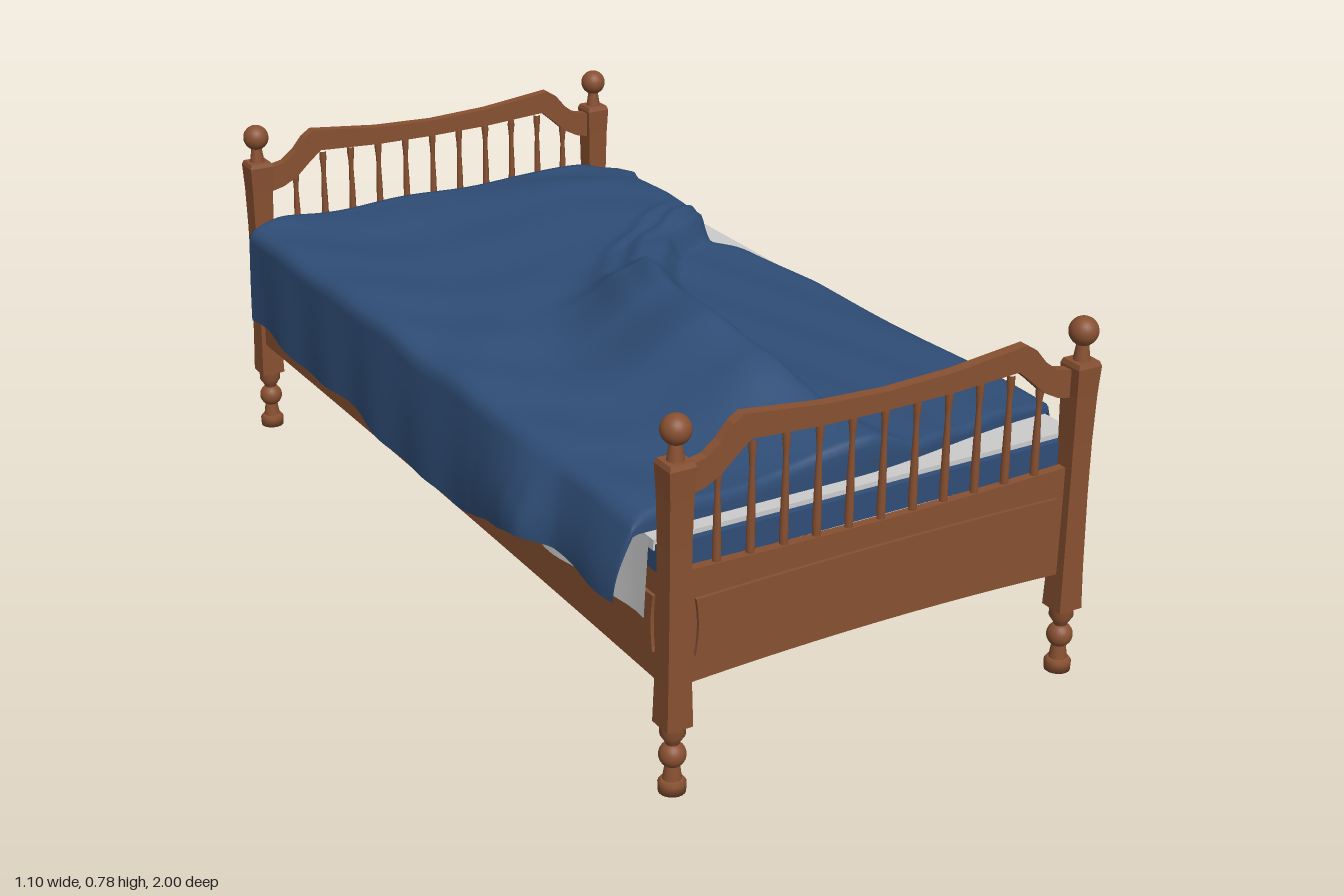
import * as THREE from 'three';

const CX = 0.033; // bed frame centre in x
const wood = new THREE.MeshStandardMaterial({ color: 0x875031 });
const woodFlat = new THREE.MeshStandardMaterial({ color: 0x875031, flatShading: true });
const blue = new THREE.MeshStandardMaterial({ color: 0x2f4d76 });
const blueCloth = new THREE.MeshStandardMaterial({ color: 0x2f4d76, side: THREE.DoubleSide });
const grey = new THREE.MeshStandardMaterial({ color: 0xcccccc });
const greyCloth = new THREE.MeshStandardMaterial({ color: 0xcccccc, side: THREE.DoubleSide });

function add(parent, name, geo, mat, x = 0, y = 0, z = 0) {
  const m = new THREE.Mesh(geo, mat);
  m.name = name;
  m.position.set(x, y, z);
  parent.add(m);
  return m;
}
const smooth = (a, b, v) => THREE.MathUtils.smoothstep(v, a, b);
const mix = THREE.MathUtils.lerp;
const bump = (d, w) => Math.exp(-((d / w) ** 2));
const lathe = (pts, n) => new THREE.LatheGeometry(pts.map(p => new THREE.Vector2(p[0], p[1])), n);

// Eased interpolation through [key, value] pairs
function along(table, v) {
  if (v <= table[0][0]) return table[0][1];
  for (let i = 1; i < table.length; i++) {
    const [a, p] = table[i - 1], [b, q] = table[i];
    if (v <= b) return mix(p, q, mix((v - a) / (b - a), smooth(a, b, v), 0.4));
  }
  return table[table.length - 1][1];
}

// Surface from a function of two 0..1 parameters
function sheetGeometry(nu, nv, fn) {
  const g = new THREE.PlaneGeometry(1, 1, nu, nv);
  const p = g.attributes.position;
  for (let j = 0, k = 0; j <= nv; j++)
    for (let i = 0; i <= nu; i++, k++) p.setXYZ(k, ...fn(i / nu, j / nv));
  g.computeVertexNormals();
  return g;
}

// Square waisted post with a ball finial and turned foot
function makePost() {
  const post = new THREE.Group();
  post.name = 'post';
  const r2 = Math.SQRT2;
  const shaft = lathe([[0, 0.145], [0.028, 0.145], [0.0255, 0.24], [0.0235, 0.4], [0.0235, 0.52],
    [0.0255, 0.62], [0.0285, 0.68], [0.025, 0.69], [0, 0.69]].map(([r, y]) => [r * r2, y]), 4);
  shaft.rotateY(Math.PI / 4);
  add(post, 'postShaft', shaft, woodFlat);
  add(post, 'finialNeck', new THREE.CylinderGeometry(0.012, 0.018, 0.04, 16), wood, 0, 0.705, 0);
  add(post, 'finialBall', new THREE.SphereGeometry(0.03, 24, 16), wood, 0, 0.75, 0);
  add(post, 'footCollar', lathe([[0.012, 0.1], [0.016, 0.11], [0.025, 0.124], [0.025, 0.146]], 20), wood);
  add(post, 'footBall', new THREE.SphereGeometry(0.027, 24, 16), wood, 0, 0.08, 0);
  add(post, 'footNeck', new THREE.CylinderGeometry(0.014, 0.02, 0.04, 16), wood, 0, 0.042, 0);
  add(post, 'footPad', lathe([[0, 0], [0.027, 0], [0.028, 0.02], [0.022, 0.028], [0, 0.028]], 20), wood);
  return post;
}

// Arched board with a raised centre panel that flares at its ends; its face points to +z
function makeBoard(length, arch) {
  const board = new THREE.Group();
  const h = length / 2;
  const slab = (w, y0, y1, sag0, sag1, waist, depth) => {
    const s = new THREE.Shape();
    s.moveTo(-w, y0);
    s.quadraticCurveTo(0, y0 + sag0 * 2, w, y0);
    s.quadraticCurveTo(w - waist * 2, (y0 + y1) / 2, w, y1);
    s.quadraticCurveTo(0, y1 + sag1 * 2, -w, y1);
    s.quadraticCurveTo(-w + waist * 2, (y0 + y1) / 2, -w, y0);
    return new THREE.ExtrudeGeometry(s, { depth, bevelEnabled: false, curveSegments: 12 });
  };
  add(board, 'boardSlab', slab(h, 0.225, 0.463, arch, -arch / 2, 0, 0.02), wood, 0, 0, -0.01);
  add(board, 'boardPanel', slab(h - 0.02, 0.284, 0.402, arch / 2, arch / 2, 0.006, 0.008), wood, 0, 0, 0.009);
  return board;
}

// Mirrored crest rail with raised shoulders
const crestTop = [[0.435, 0.675], [0.40, 0.682], [0.37, 0.705], [0.345, 0.735], [0.322, 0.75], [0.15, 0.731], [0, 0.725]];
const crestLow = [[0, 0.686], [0.15, 0.688], [0.305, 0.697], [0.335, 0.672], [0.37, 0.64], [0.405, 0.622], [0.435, 0.615]];
function makeCrest() {
  const right = [...crestLow, ...crestTop.slice(0, -1)];
  const left = [...crestTop.slice().reverse(), ...crestLow.slice().reverse().slice(0, -1)].map(([x, y]) => [-x, y]);
  const shape = new THREE.Shape([...right, ...left].map(p => new THREE.Vector2(...p)));
  return new THREE.ExtrudeGeometry(shape, { depth: 0.024, bevelEnabled: false });
}

// One bed end: posts, board, spindles and crest, facing +z
function makeEnd(name) {
  const end = new THREE.Group();
  end.name = name;
  for (const s of [-1, 1]) {
    const post = makePost();
    post.position.x = s * 0.463;
    end.add(post);
  }
  const board = makeBoard(0.884, 0.012);
  board.name = 'endBoard';
  board.position.z = -0.005;
  end.add(board);
  add(end, 'crestRail', makeCrest(), wood, 0, 0, -0.018);
  for (let i = -5; i <= 5; i++) {
    const top = Math.abs(i) === 5 ? 0.65 : 0.69, H = top - 0.455;
    const prof = [[0.0085, 0], [0.009, 0.15], [0.0075, 0.5], [0.0055, 0.75],
      [0.0065, 0.85], [0.0085, 0.93], [0.008, 1]].map(([r, t]) => [r, t * H]);
    add(end, 'spindle', lathe(prof, 10), wood, i * 0.0738, 0.455, -0.006);
  }
  return end;
}

// Outlines of the blanket, keyed by z
const leftX = [[-0.95, -0.482], [-0.4, -0.488], [0, -0.497], [0.3, -0.505], [0.5, -0.55], [0.58, -0.55], [0.66, -0.515], [0.9, -0.52]];
const leftY = [[-0.95, 0.3], [-0.4, 0.3], [0.2, 0.285], [0.42, 0.36], [0.58, 0.39], [0.9, 0.4]];
const rightX = [[-0.95, 0.49], [-0.84, 0.535], [-0.74, 0.5], [-0.45, 0.48], [-0.33, 0.46], [-0.25, 0.5], [0.1, 0.53], [0.45, 0.55], [0.9, 0.54]];
const rightY = [[-0.95, 0.523], [-0.1, 0.522], [0.3, 0.485], [0.78, 0.437], [0.9, 0.43]];
const crestX = [[-0.4, 0.3], [-0.2, 0.18], [0, 0.08], [0.2, 0.02], [0.42, -0.01], [0.65, 0.0], [0.9, 0.05]];
const crestH = [[-0.25, 0], [-0.12, 0.045], [0, 0.09], [0.2, 0.124], [0.42, 0.14], [0.6, 0.118], [0.76, 0.06], [0.92, 0.035]];
const creaseX = [[-0.5, 0.62], [-0.36, 0.45], [-0.25, 0.3], [-0.1, 0.2], [0.2, 0.1], [0.6, 0.05], [0.9, 0.14]];

// Blanket height: long ridge, step at the crease, and soft folds
function blanketHeight(x, z) {
  const d = x - along(crestX, z), c = x - along(creaseX, z);
  const ridge = along(crestH, z) * bump(d, d < 0 ? 0.165 : 0.075);
  const upper = 1 - smooth(-0.02, 0.03, c);
  const bunch = 0.03 * smooth(0, 0.25, x) * smooth(-0.95, -0.7, z) * upper * (1 - smooth(-0.25, -0.1, z));
  const pleats = (0.01 * bump(c + 0.09, 0.022) + 0.008 * bump(c + 0.17, 0.028))
    * smooth(-0.75, -0.35, z) * (1 - smooth(0, 0.3, z));
  const folds = 0.004 * Math.sin(17 * x + 6 * z + 2 * Math.sin(5 * z))
    + 0.003 * Math.sin(21 * z - 9 * x + 2 * Math.sin(7 * x));
  const lift = mix(0.01, 0.027, smooth(-0.95, -0.1, z));
  const flap = 0.004 * Math.sin(38 * x - 8 * z) + 0.016 * smooth(-0.2, 0.7, z);
  return 0.534 + ridge + bunch + pleats + upper * (lift + folds) + (1 - upper) * flap;
}

function blanketPoint(u, v) {
  const A = 0.16, B = 0.9, H = 0.02; // top spans A..B, the rest hangs; H is the hem
  const t = THREE.MathUtils.clamp((u - A) / (B - A), 0, 1);
  const zFront = 0.905 - 0.055 * smooth(0, 0.5, mix(-0.48, 0.52, t));
  const zBack = mix(-0.928, -0.954, smooth(0, 0.12, t));
  const z = mix(zBack, zFront, THREE.MathUtils.clamp((v - H) / (1 - 2 * H), 0, 1));
  const lx = along(leftX, z), rx = along(rightX, z);
  const sl = -0.478, sr = Math.min(rx, 0.524);
  let x = mix(sl, sr, t);
  let y = blanketHeight(x, z);
  y = Math.max(0.524, y - 0.018 * Math.exp(-t / 0.02) - 0.012 * Math.exp(-(1 - t) / 0.02));
  if (v > 1 - H) y = mix(y, 0.522, (v - 1 + H) / H); // front hem folds down
  if (v < H) y = mix(mix(0.522, 0.495, smooth(0.1, 0.35, t)), y, v / H); // back hem tucks behind the mattress
  if (u < A) {
    const k = 1 - u / A;
    x = mix(sl, lx, Math.sin(k * Math.PI / 2)) - 0.005 * k * Math.sin(24 * z);
    y = mix(y, along(leftY, z) + 0.008 * Math.sin(13 * z), k);
  } else if (u > B) {
    const k = (u - B) / (1 - B);
    x = mix(sr, rx, Math.sin(k * Math.PI / 2));
    y = mix(y, along(rightY, z), k);
  }
  return [x, y, z];
}

export function createModel() {
  const bed = new THREE.Group();
  bed.name = 'bed';

  // Head and foot
  const foot = makeEnd('footEnd');
  foot.position.set(CX, 0, 0.97);
  const head = makeEnd('headEnd');
  head.position.set(CX, 0, -0.97);
  head.rotation.y = Math.PI;
  bed.add(foot, head);

  // Side rails and base
  for (const s of [-1, 1]) {
    const rail = makeBoard(1.9, 0.006);
    rail.name = s > 0 ? 'leftRail' : 'rightRail';
    rail.position.x = CX + s * 0.468;
    rail.rotation.y = s * Math.PI / 2;
    bed.add(rail);
  }
  add(bed, 'basePanel', new THREE.BoxGeometry(0.92, 0.01, 1.93), grey, CX, 0.25, 0);

  // Bedding: the sheet stops short of the mattress ends and wraps its sides
  add(bed, 'mattress', new THREE.BoxGeometry(0.966, 0.055, 1.9), blue, CX, 0.4825, 0);
  add(bed, 'sheet', new THREE.BoxGeometry(0.974, 0.022, 1.87), grey, CX, 0.509, 0);
  add(bed, 'sheetDrape', sheetGeometry(60, 6, (u, v) => {
    const z = mix(-0.945, 0.92, u);
    return [-0.455 - 0.012 * v + 0.004 * v * Math.sin(30 * z), mix(0.518, 0.345 + 0.01 * Math.sin(9 * z), v), z];
  }), greyCloth);
  add(bed, 'blanket', sheetGeometry(90, 130, blanketPoint), blueCloth);
  return bed;
}
